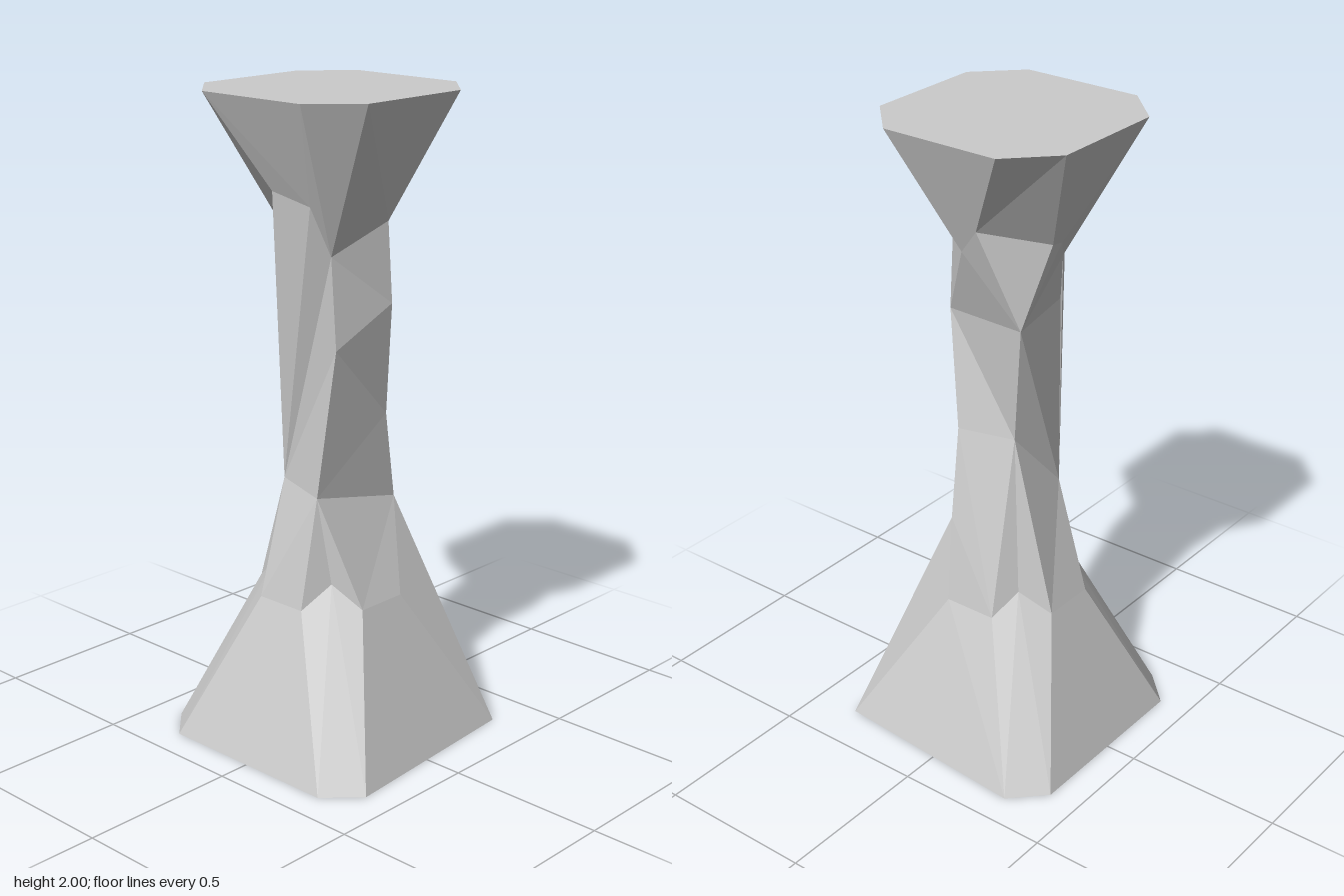
import * as THREE from 'three';

// Each corner of the pillar: foot points, waist points and flared head points.
// "a" edges end the side on the left, "b" edges start the side on the right (seen from outside).
const frontRight = {
  footA: [0.3, 0, 0.4], footB: [0.4, 0, 0.3],
  lowA: [0.07, 0.47, 0.23], lowB: [0.2, 0.47, 0.1], notch: [0.11, 0.54, 0.14],
  shaft: [[0.075, 0.81, 0.165], [0.115, 1.26, 0.125], [0.11, 1.54, 0.14]],
  highA: [0.09, 1.69, 0.205],
  topA: [0.18, 2, 0.335], topB: [0.31, 2, 0.205],
};
const backRight = {
  footA: [0.35, 0, -0.35], footB: [0.35, 0, -0.35],
  lowA: [0.2, 0.47, -0.07], lowB: [0.07, 0.47, -0.205],
  shaft: [[0.085, 0.74, -0.165], [0.1, 1.02, -0.11], [0.165, 1.38, -0.06]],
  highA: [0.175, 1.63, -0.03], highB: [0.03, 1.63, -0.17],
  topA: [0.31, 2, -0.18], topB: [0.18, 2, -0.315],
};
const backLeft = {
  footA: [-0.3, 0, -0.4], footB: [-0.4, 0, -0.3],
  lowA: [-0.1, 0.47, -0.205], lowB: [-0.23, 0.47, -0.075], notch: [-0.14, 0.54, -0.125],
  shaft: [[-0.09, 1.03, -0.08], [-0.14, 1.41, -0.118]],
  highA: [-0.05, 1.72, -0.205], highB: [-0.2, 1.67, -0.05],
  topA: [-0.205, 2, -0.315], topB: [-0.335, 2, -0.18],
};
const frontLeft = {
  footA: [-0.4, 0, 0.3], footB: [-0.3, 0, 0.4],
  lowA: [-0.23, 0.47, 0.1], lowB: [-0.1, 0.47, 0.23], notch: [-0.14, 0.54, 0.14],
  shaft: [[-0.115, 0.82, 0.11], [-0.115, 1.43, 0.105], [-0.14, 1.58, 0.08]],
  shaftB: [[-0.115, 0.82, 0.11]],
  highA: [-0.195, 1.66, 0], highB: [-0.05, 1.72, 0.215],
  topA: [-0.335, 2, 0.205], topB: [-0.205, 2, 0.335],
};

const fan = (p) => p.slice(2).flatMap((q, i) => [p[0], p[i + 1], q]);

// Bridges two rising edges with triangles, always taking the lower next point.
function bridge(left, right) {
  const out = [];
  let i = 0, j = 0;
  while (i < left.length - 1 || j < right.length - 1) {
    const l = left[i + 1], r = right[j + 1];
    const next = !r || (l && l[1] <= r[1]) ? l : r;
    out.push(left[i], right[j], next);
    if (next === l) i++; else j++;
  }
  return out;
}

const edgeA = (c) => [c.footA, c.lowA, ...c.shaft, c.highA, c.topA].filter(Boolean);
const edgeB = (c) => [c.footB, c.lowB, ...(c.shaftB || c.shaft), c.highB, c.topB].filter(Boolean);

function facetMesh(name, points) {
  const geometry = new THREE.BufferGeometry();
  geometry.setAttribute('position', new THREE.Float32BufferAttribute(points.flat(), 3));
  geometry.computeVertexNormals();
  const material = new THREE.MeshStandardMaterial({ color: 0xcccccc, flatShading: true });
  const mesh = new THREE.Mesh(geometry, material);
  mesh.name = name;
  return mesh;
}

export function createModel() {
  const group = new THREE.Group();
  group.name = 'pillar';
  const corners = [frontLeft, frontRight, backRight, backLeft];

  // four twisted sides
  ['frontSide', 'rightSide', 'backSide', 'leftSide'].forEach((name, i) => {
    group.add(facetMesh(name, bridge(edgeB(corners[i]), edgeA(corners[(i + 1) % 4]))));
  });

  // cut corners of the foot
  const foot = [];
  for (const c of corners) {
    const p = c.shaft[0];
    if (c.notch) {
      foot.push(...fan([c.notch, c.lowA, c.footA, c.footB, c.lowB]),
        c.lowA, c.notch, p, c.lowB, p, c.notch);
    } else foot.push(...fan([p, c.lowA, c.footA, c.lowB]));
  }
  group.add(facetMesh('footCorners', foot));

  // cut corners of the head
  const head = [];
  for (const c of [backRight, backLeft]) {
    head.push(...fan([c.highA, c.shaft.at(-1), c.highB, c.topB, c.topA]));
  }
  head.push(...fan([frontRight.shaft[2], frontRight.topB, frontRight.topA, frontRight.highA]));
  const f = frontLeft;
  head.push(...fan([f.shaft[2], f.highB, f.topB, f.topA, f.highA]));
  head.push(...fan([f.shaft[0], f.highB, f.shaft[2], f.shaft[1]]));
  group.add(facetMesh('headCorners', head));

  // flat ends
  group.add(facetMesh('topFace', fan(corners.flatMap((c) => [c.topA, c.topB]))));
  const footRing = corners.flatMap((c) => (c === backRight ? [c.footA] : [c.footA, c.footB]));
  group.add(facetMesh('bottomFace', fan(footRing.reverse())));
  return group;
}
